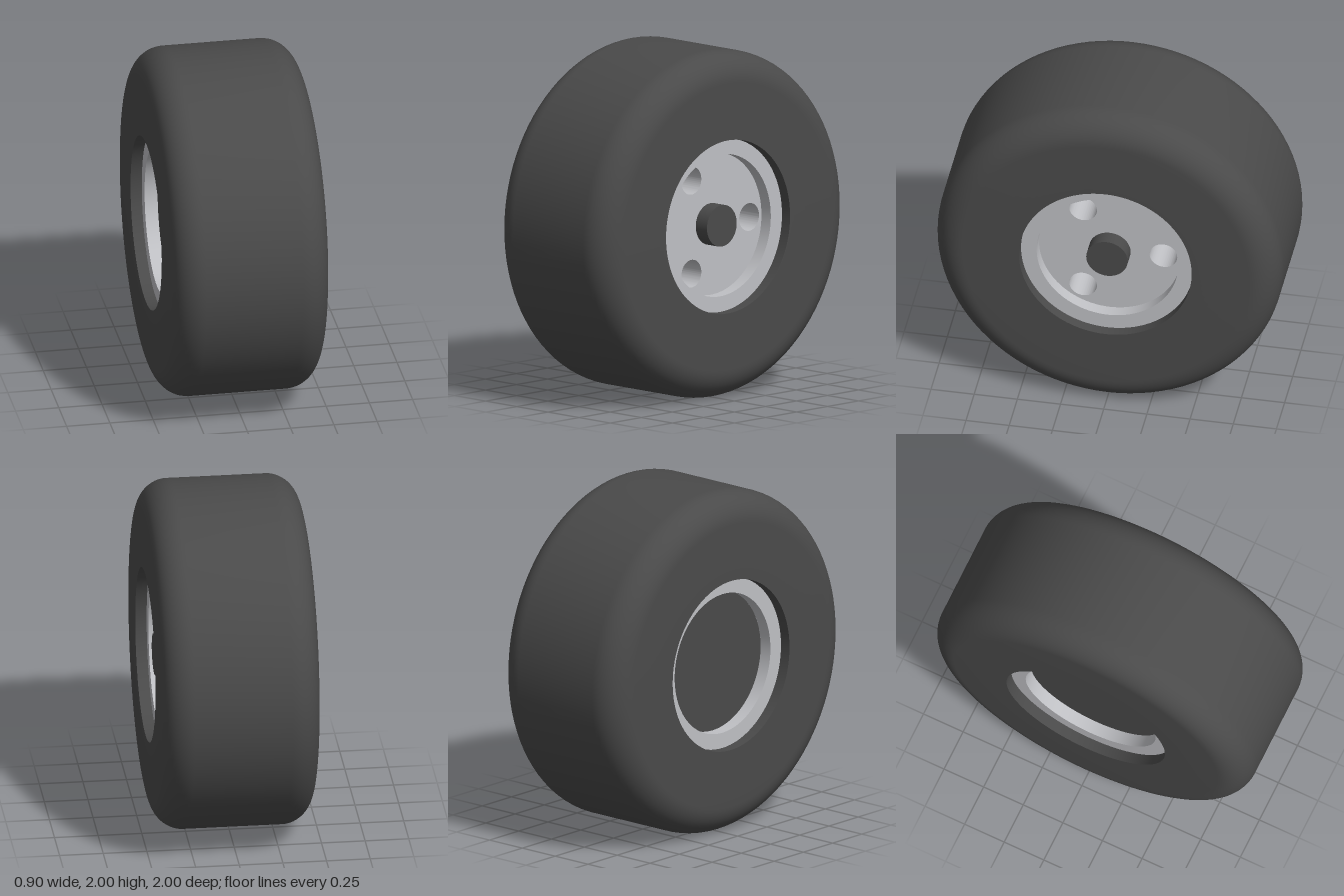
import * as THREE from 'three';
import { toCreasedNormals } from 'three/addons/utils/BufferGeometryUtils.js';

const rubber = new THREE.MeshStandardMaterial({ name: 'dark rubber', color: 0x4a4a4a });
const metal = new THREE.MeshStandardMaterial({ name: 'light metal', color: 0xbfc0c4 });

const HALF_WIDTH = 0.45, RADIUS = 1, FILLET = 0.17;
const BORE = 0.5, DISH = 0.41;          // rim opening and inner dish radii
const RING_X = 0.385, DISC_X = 0.31;    // depths of the rim ring and the disc

// Revolve [radius, x] points about the x axis, keeping hard edges sharp
function revolve(points) {
  const geometry = new THREE.LatheGeometry(points.map(([r, x]) => new THREE.Vector2(r, x)), 96);
  geometry.rotateZ(-Math.PI / 2);
  return toCreasedNormals(geometry, 0.5);
}

// Solid round part along the x axis between two positions
function rod(radius, x0, x1) {
  const geometry = new THREE.CylinderGeometry(radius, radius, x1 - x0, 64);
  geometry.rotateZ(-Math.PI / 2);
  geometry.translate((x0 + x1) / 2, 0, 0);
  return geometry;
}

export function createModel() {
  const wheel = new THREE.Group();
  wheel.name = 'wheel';
  const add = (name, geometry, material) => {
    const mesh = new THREE.Mesh(geometry, material);
    mesh.name = name;
    mesh.position.y = RADIUS;
    wheel.add(mesh);
  };

  // Tyre: flat tread, rounded shoulders, flat sidewalls and a bore lip on each side
  const profile = [[BORE, -RING_X], [BORE, -HALF_WIDTH]];
  for (const side of [-1, 1]) {
    for (let i = 0; i <= 12; i++) {
      const a = (side < 0 ? i - 12 : i) / 12 * Math.PI / 2;
      profile.push([
        RADIUS - FILLET + FILLET * Math.cos(a),
        side * (HALF_WIDTH - FILLET) + FILLET * Math.sin(a),
      ]);
    }
  }
  profile.push([BORE, HALF_WIDTH], [BORE, RING_X]);
  add('tyre', revolve(profile), rubber);

  // Rim: a flat ring and a stepped wall on each side
  add('outerRim', revolve([[BORE, RING_X], [DISH, RING_X], [DISH, DISC_X]]), metal);
  add('innerRim', revolve([[DISH, -DISC_X], [DISH, -RING_X], [BORE, -RING_X]]), metal);

  // Wheel disc with three round holes
  const shape = new THREE.Shape().absarc(0, 0, DISH, 0, Math.PI * 2);
  for (let i = 0; i < 3; i++) {
    const a = i * Math.PI * 2 / 3;
    shape.holes.push(new THREE.Path().absarc(0.31 * Math.cos(a), 0.31 * Math.sin(a), 0.08, 0, Math.PI * 2, true));
  }
  const disc = new THREE.ExtrudeGeometry(shape, { depth: DISC_X + 0.25, bevelEnabled: false, curveSegments: 48 });
  disc.translate(0, 0, -0.25);
  disc.rotateY(Math.PI / 2);
  add('wheelDisc', toCreasedNormals(disc, 0.5), metal);

  // Dark plate closing the inner side and the hole ends, and the hub stub
  add('backPlate', rod(DISH, -DISC_X, -0.25), rubber);
  add('hub', rod(0.12, 0.25, 0.4), rubber);

  return wheel;
}
